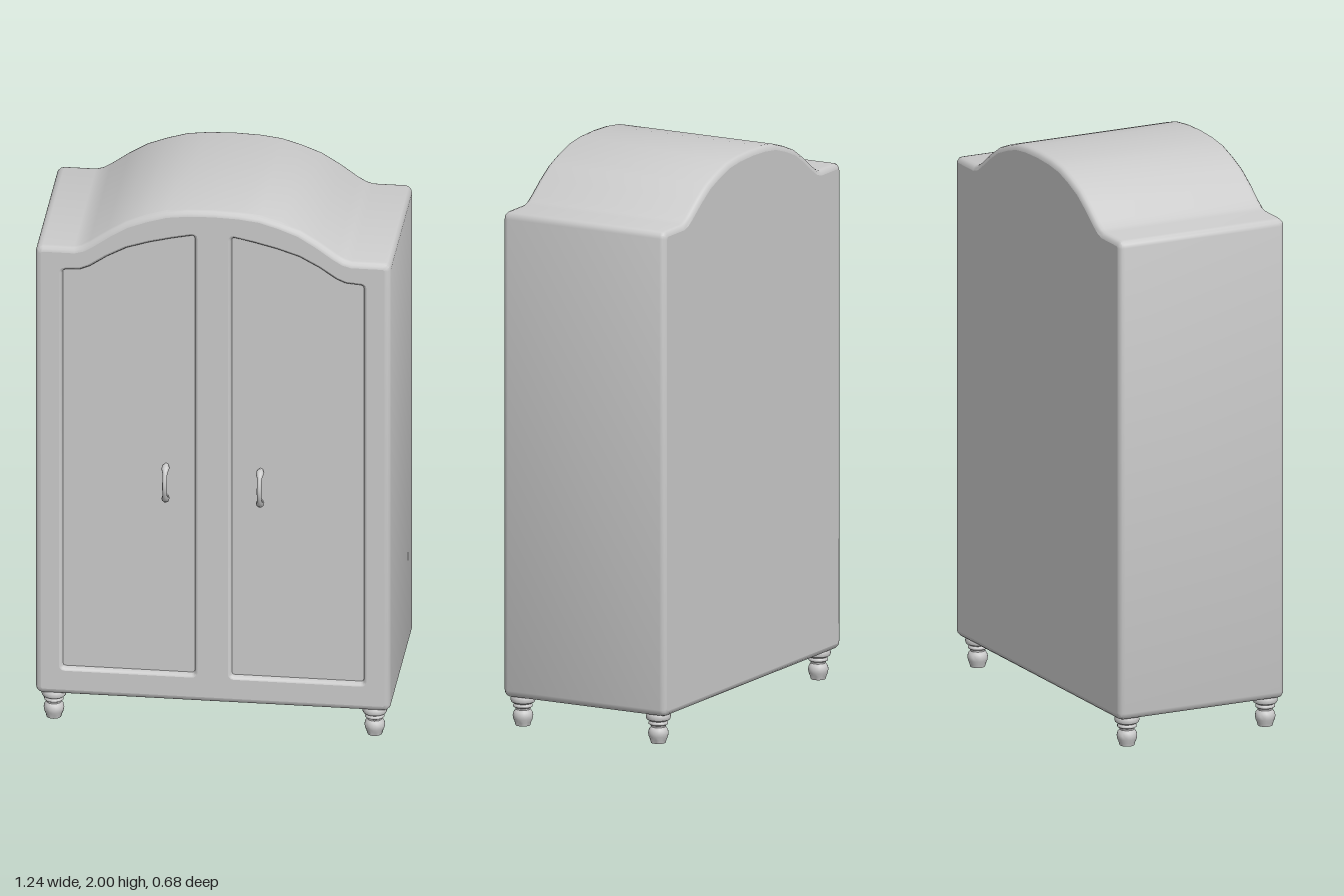
import * as THREE from 'three';
import { mergeGeometries, toCreasedNormals } from 'three/addons/utils/BufferGeometryUtils.js';

const V = (x, y) => new THREE.Vector2(x, y);
const material = new THREE.MeshStandardMaterial({ color: 0xcccccc });
const BACK = -0.345, FRONT = 0.3, PANEL = 0.28, BEVEL = 0.02;

// quarter-round corner about (cx, cy), starting at angle a0 (degrees), counter-clockwise
function corner(cx, cy, r, a0) {
  return [0, 30, 60, 90].map((d) => {
    const a = THREE.MathUtils.degToRad(a0 + d);
    return V(cx + r * Math.cos(a), cy + r * Math.sin(a));
  });
}

// move a counter-clockwise outline inwards by d
function inset(pts, d) {
  const n = pts.length;
  return pts.map((p, i) => {
    const a = p.clone().sub(pts[(i + n - 1) % n]).normalize();
    const b = pts[(i + 1) % n].clone().sub(p).normalize();
    const k = d / (1 + a.dot(b));
    return V(p.x - (a.y + b.y) * k, p.y + (a.x + b.x) * k);
  });
}

// skin a stack of outlines [inset, z]
function skin(pts, levels) {
  const pos = [], index = [], n = pts.length;
  levels.forEach(([d, z], j) => {
    inset(pts, d).forEach((p, i) => {
      pos.push(p.x, p.y, z);
      if (j === 0) return;
      const k = (i + 1) % n, lo = (j - 1) * n, hi = j * n;
      index.push(lo + i, lo + k, hi + k, lo + i, hi + k, hi + i);
    });
  });
  const g = new THREE.BufferGeometry();
  g.setAttribute('position', new THREE.Float32BufferAttribute(pos, 3));
  g.setIndex(index);
  return toCreasedNormals(g, 0.65);
}

// flat face from an outline with optional holes
function face(pts, z, holes = []) {
  const s = new THREE.Shape(pts);
  s.holes = holes.map((h) => new THREE.Path(h));
  const g = new THREE.ShapeGeometry(s).toNonIndexed().translate(0, 0, z);
  g.deleteAttribute('uv');
  return g;
}

const mirrorX = (pts) => pts.map((p) => V(-p.x, p.y)).reverse();

function add(parent, name, geometry) {
  const mesh = new THREE.Mesh(geometry, material);
  mesh.name = name;
  parent.add(mesh);
  return mesh;
}

// turned foot
function footGeometry() {
  const profile = [[0, 0], [0.026, 0], [0.029, 0.012], [0.034, 0.024], [0.036, 0.036], [0.033, 0.048],
    [0.026, 0.057], [0.027, 0.063], [0.034, 0.067], [0.034, 0.073], [0.03, 0.078],
    [0.041, 0.084], [0.044, 0.093], [0.042, 0.102], [0.036, 0.112]];
  return toCreasedNormals(new THREE.LatheGeometry(profile.map(([x, y]) => V(x, y)), 20), 0.7);
}

// bowed pull, thicker towards its ends
function handleGeometry() {
  const curve = new THREE.CatmullRomCurve3([[1.003, 0.275], [1.0, 0.306], [0.975, 0.322], [0.943, 0.329],
    [0.912, 0.322], [0.887, 0.306], [0.884, 0.275]].map(([y, z]) => new THREE.Vector3(0, y, z)));
  const rows = 28, sides = 10;
  const g = new THREE.TubeGeometry(curve, rows, 0.01, sides);
  const pos = g.attributes.position, v = new THREE.Vector3();
  for (let i = 0; i <= rows; i++) {
    const c = curve.getPointAt(i / rows);
    const t = Math.abs(i / rows - 0.5) * 2;
    const s = 0.8 + 0.6 * Math.exp(-(((t - 0.72) / 0.16) ** 2));
    for (let j = 0; j <= sides; j++) {
      const k = i * (sides + 1) + j;
      v.fromBufferAttribute(pos, k).sub(c).multiplyScalar(s).add(c);
      pos.setXYZ(k, v.x, v.y, v.z);
    }
  }
  return g;
}

export function createModel() {
  const group = new THREE.Group();
  group.name = 'wardrobe';

  // cabinet outline: rounded corners and an arched top
  const half = [
    ...corner(0.595, 0.13, 0.025, -90), ...corner(0.595, 1.807, 0.025, 0),
    V(0.485, 1.832), V(0.46, 1.839), V(0.43, 1.857), V(0.37, 1.9), V(0.305, 1.94),
    V(0.235, 1.967), V(0.165, 1.988), V(0.09, 1.997),
  ];
  const outline = [...half, V(0, 2), ...mirrorX(half)];

  // door opening follows the arch
  const opening = [
    ...corner(0.073, 0.218, 0.02, 180), ...corner(0.517, 0.218, 0.02, 270),
    ...corner(0.517, 1.735, 0.02, 0), V(0.465, 1.759), V(0.435, 1.772), V(0.375, 1.813),
    V(0.305, 1.851), V(0.225, 1.877), V(0.145, 1.897), ...corner(0.073, 1.892, 0.02, 90),
  ];
  const openings = [opening, mirrorX(opening)];

  // cabinet shell with rounded edges, closed back and open-framed front
  const steps = [0, 30, 60, 90].map((d) => THREE.MathUtils.degToRad(d));
  const levels = [
    ...steps.map((a) => [BEVEL * (1 - Math.sin(a)), BACK + BEVEL * (1 - Math.cos(a))]),
    ...steps.map((a) => [BEVEL * (1 - Math.cos(a)), FRONT - BEVEL * (1 - Math.sin(a))]),
  ];
  const rim = inset(outline, BEVEL);
  const back = face(rim.map((p) => V(-p.x, p.y)), -BACK).rotateY(Math.PI);
  add(group, 'cabinet', mergeGeometries([skin(outline, levels), back, face(rim, FRONT, openings)]));

  // moulded edge, recessed panel and handle for each door
  const roll = steps.map((a) => [0.012 * Math.sin(a), FRONT - (FRONT - PANEL) * (1 - Math.cos(a))]);
  openings.forEach((pts, i) => {
    const side = i === 0 ? 1 : -1;
    const door = new THREE.Group();
    door.name = side > 0 ? 'leftDoor' : 'rightDoor';
    add(door, 'doorMoulding', skin(pts, roll));
    add(door, 'doorPanel', face(inset(pts, 0.012), PANEL));
    add(door, 'handle', handleGeometry()).position.x = side * 0.165;
    group.add(door);
  });

  // four turned feet
  const foot = footGeometry();
  for (const x of [-0.56, 0.56]) {
    for (const z of [-0.287, 0.253]) add(group, 'foot', foot).position.set(x, 0, z);
  }
  return group;
}
